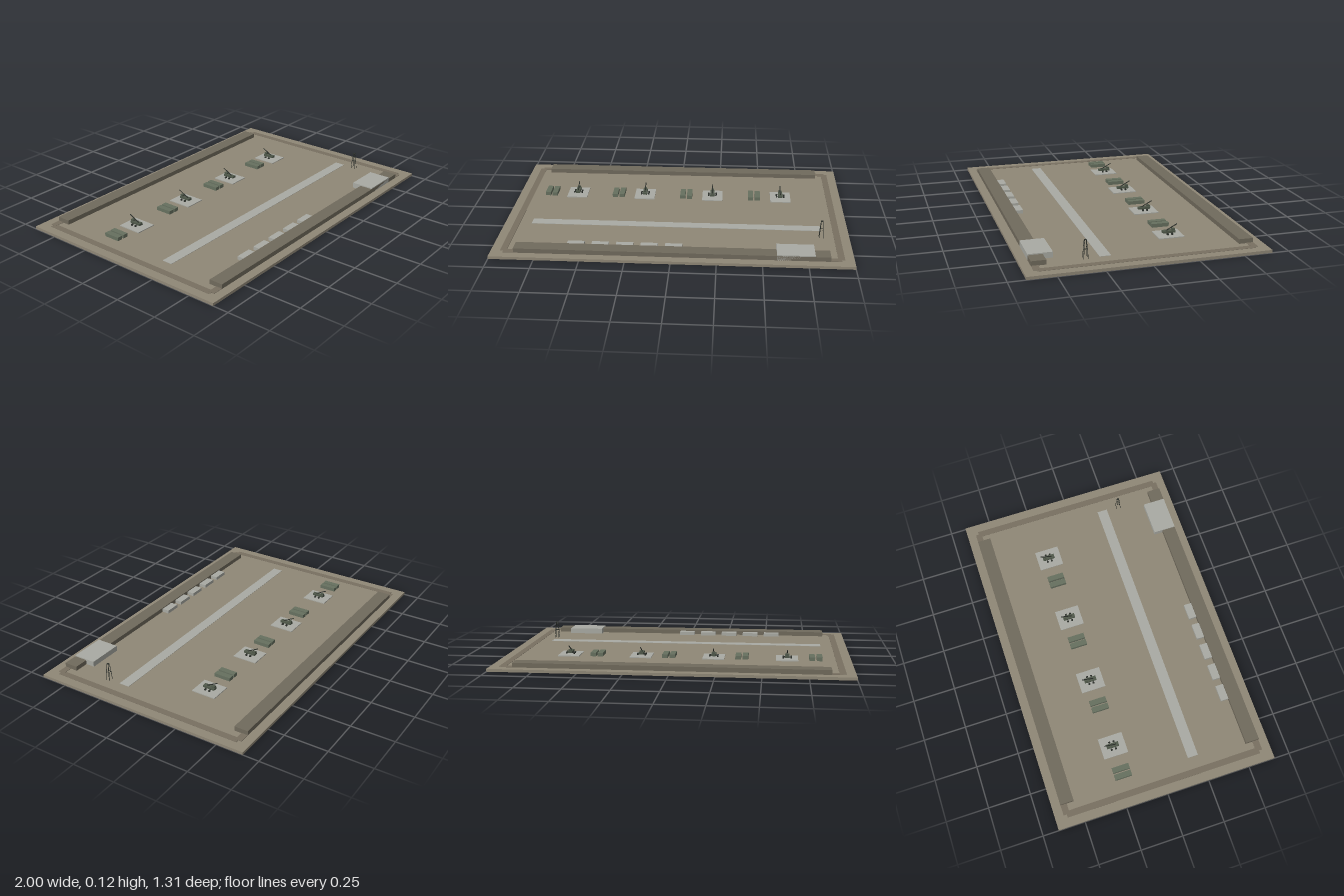
import * as THREE from 'three';

const mat = (color) => new THREE.MeshStandardMaterial({ color, flatShading: true });
const ground = mat(0x8f8776), track = mat(0x787061), earth = mat(0x706a5c), concrete = mat(0xa9aaa3);
const olive = mat(0x66705f), green = mat(0x4f584a), dark = mat(0x2c302b);
const TOP = 0.016; // height of the ground slab

// Box centred on x and z, with its underside at y
function box(parent, name, m, w, h, d, x, y, z) {
  const mesh = new THREE.Mesh(new THREE.BoxGeometry(w, h, d), m);
  mesh.name = name;
  mesh.position.set(x, y + h / 2, z);
  parent.add(mesh);
  return mesh;
}

// Round bar between two points
function bar(parent, name, m, a, b, r) {
  const from = new THREE.Vector3(...a), to = new THREE.Vector3(...b);
  const dir = to.clone().sub(from);
  const mesh = new THREE.Mesh(new THREE.CylinderGeometry(r, r, dir.length(), 8), m);
  mesh.name = name;
  mesh.position.copy(from).add(to).multiplyScalar(0.5);
  mesh.quaternion.setFromUnitVectors(new THREE.Vector3(0, 1, 0), dir.normalize());
  parent.add(mesh);
}

// Gun with a low hull, four wheels and a raised barrel aimed to the back
function gun() {
  const g = new THREE.Group();
  g.name = 'gun';
  box(g, 'hull', green, 0.026, 0.012, 0.072, 0, 0.008, 0.0);
  box(g, 'mount', green, 0.016, 0.01, 0.018, 0, 0.02, -0.026);
  bar(g, 'barrel', dark, [0, 0.016, 0.022], [0, 0.053, -0.048], 0.003);
  for (const x of [-0.023, 0.023])
    for (const z of [-0.013, 0.013]) {
      bar(g, 'wheel', dark, [x - 0.004, 0.006, z], [x + 0.004, 0.006, z], 0.006);
      bar(g, 'axle', dark, [0, 0.009, z], [x, 0.007, z], 0.002);
    }
  return g;
}

// Thin four-legged tower with a mid brace ring and a cap
function tower() {
  const g = new THREE.Group();
  g.name = 'tower';
  const corners = [[1, 1], [1, -1], [-1, -1], [-1, 1]];
  const low = 0.012, mid = 0.009, high = 0.005;
  corners.forEach(([x, z], i) => {
    const [nx, nz] = corners[(i + 1) % 4];
    bar(g, 'lowerLeg', dark, [x * low, 0, z * low], [x * mid, 0.05, z * mid], 0.0015);
    bar(g, 'upperLeg', dark, [x * mid, 0.05, z * mid], [x * high, 0.1, z * high], 0.0015);
    bar(g, 'brace', dark, [x * mid, 0.05, z * mid], [nx * mid, 0.05, nz * mid], 0.001);
  });
  box(g, 'cap', dark, 0.012, 0.003, 0.012, 0, 0.1, 0);
  return g;
}

export function createModel() {
  const root = new THREE.Group();
  root.name = 'gunPosition';

  box(root, 'groundSlab', ground, 2, TOP, 1.314, 0, 0, 0);

  // Perimeter track and earth banks
  for (const s of [-1, 1]) {
    box(root, 'sideTrack', track, 0.037, 0.0015, 1.174, s * 0.93, TOP, 0);
    box(root, 'endTrack', track, 1.86, 0.002, 0.037, 0, TOP, s * 0.587);
    box(root, 'earthBank', earth, 1.74, 0.026, 0.08, 0, TOP, s * 0.566);
  }
  box(root, 'road', concrete, 1.685, 0.002, 0.062, 0, TOP, 0.209);

  // Four gun pads, each with a pair of ammunition crates
  for (let i = 0; i < 4; i++) {
    const x = -0.636 + i * 0.4217, z = -0.212;
    box(root, 'gunPad', concrete, 0.125, 0.005, 0.146, x, TOP, z);
    const g = gun();
    g.position.set(x, TOP + 0.005, z - 0.002);
    root.add(g);
    for (const dx of [-0.184, -0.142])
      box(root, 'crate', olive, 0.032, 0.021, 0.1, x + dx, TOP, z);
  }

  // Shelters set into the front bank, and the command bunker
  for (let i = 0; i < 5; i++)
    box(root, 'shelter', concrete, 0.095, 0.02, 0.075, -0.538 + i * 0.137, TOP, 0.5175);
  box(root, 'bunker', concrete, 0.208, 0.032, 0.134, 0.682, TOP, 0.539);

  const t = tower();
  t.position.set(0.84, TOP, 0.315);
  root.add(t);
  return root;
}
